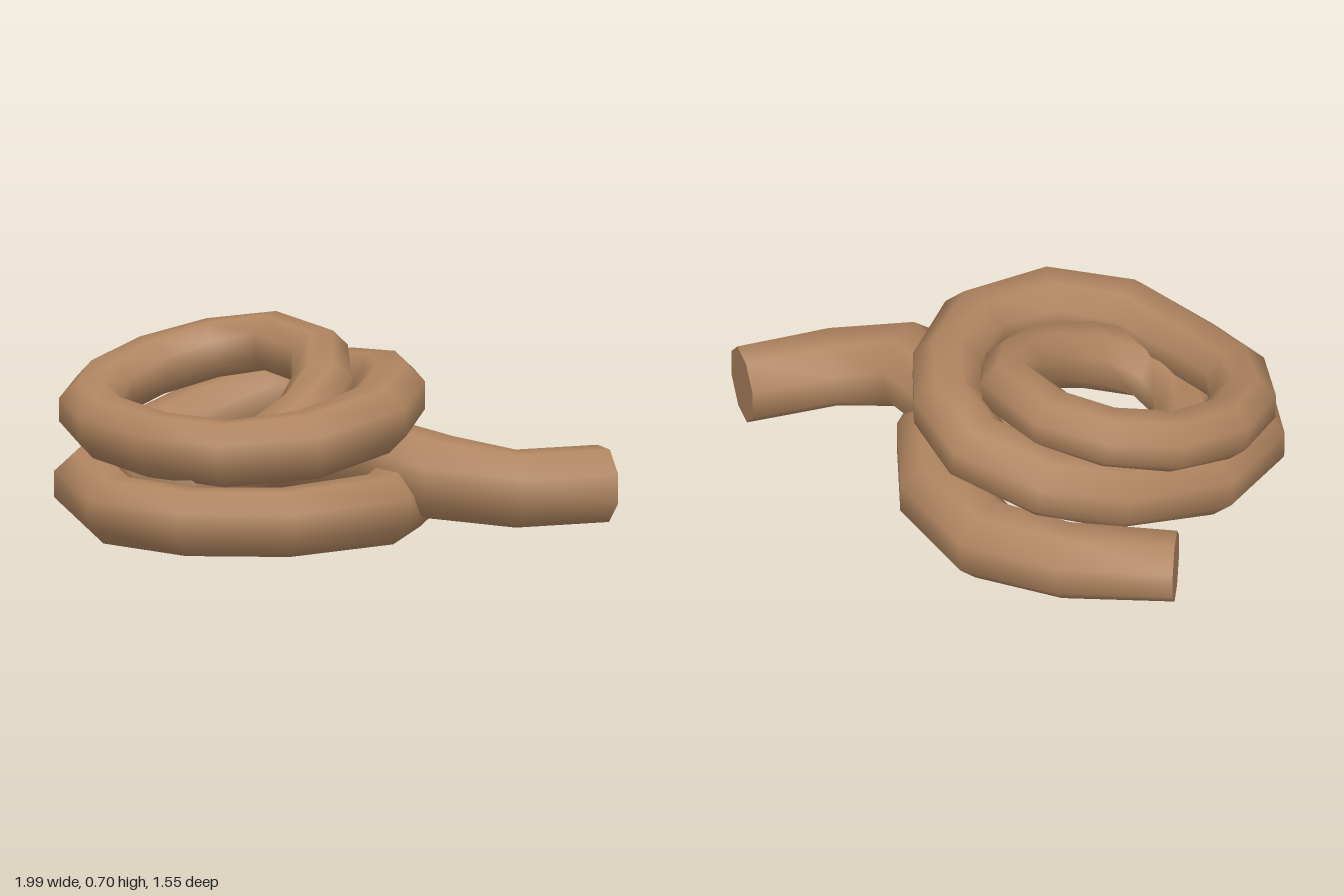
import * as THREE from 'three';

const SIDES = 8;
const CENTRE_X = -0.3;

// Coil profile: angle in degrees (0 back, 90 left side, 180 front), distance from the centre, height, radius
const COIL = [
  // bottom coil
  [-28, 0.635, 0.14, 0.14], [0, 0.63, 0.142, 0.147], [62, 0.565, 0.145, 0.137],
  [139, 0.675, 0.145, 0.126], [197, 0.64, 0.15, 0.125],
  // second coil, rising at the back and dipping at the front
  [268, 0.5, 0.23, 0.125], [313, 0.495, 0.33, 0.127], [370, 0.56, 0.455, 0.13], [419, 0.512, 0.485, 0.13],
  [488, 0.568, 0.4, 0.126], [518, 0.54, 0.37, 0.122], [552, 0.475, 0.37, 0.12],
  // top coil
  [582, 0.525, 0.4, 0.118], [604, 0.555, 0.43, 0.115], [626, 0.552, 0.47, 0.112], [651, 0.523, 0.525, 0.11],
  [702, 0.438, 0.608, 0.108], [738, 0.35, 0.58, 0.11], [774, 0.272, 0.51, 0.113], [819, 0.263, 0.43, 0.115],
  // dive through the middle and under the other coils
  [862, 0.328, 0.33, 0.12], [893, 0.423, 0.25, 0.12], [919, 0.4, 0.22, 0.12],
  [982, 0.293, 0.22, 0.125], [1026, 0.236, 0.23, 0.127], [1085, 0.23, 0.25, 0.13],
];

// Tail leading out from the middle: x, y, z, radius
const TAIL = [
  [-0.04, 0.265, -0.25, 0.135], [0.2, 0.265, -0.17, 0.145], [0.45, 0.245, -0.07, 0.152],
  [0.685, 0.205, -0.195, 0.142], [0.89, 0.2, -0.465, 0.141],
];

// Centre line with a radius at each bend: loose end, coils, tail
function ropePath() {
  const path = [{ point: new THREE.Vector3(-0.935, 0.14, -0.36), radius: 0.13 }];
  const angles = COIL.map(k => k[0]);
  const profile = new THREE.CubicInterpolant(angles, COIL.flatMap(k => k.slice(1)), 3);
  const addBend = angle => {
    const [distance, height, radius] = profile.evaluate(angle);
    const a = THREE.MathUtils.degToRad(angle);
    const point = new THREE.Vector3(CENTRE_X + distance * Math.sin(a), height, -distance * Math.cos(a));
    path.push({ point, radius });
  };
  // one bend at each profile angle and one halfway across the wide gaps
  angles.forEach((angle, i) => {
    addBend(angle);
    if (angles[i + 1] - angle > 45) addBend((angle + angles[i + 1]) / 2);
  });
  for (const [x, y, z, radius] of TAIL) path.push({ point: new THREE.Vector3(x, y, z), radius });
  return path;
}

// Sweep an octagon along the path, mitred at every bend, with flat ends
function ropeGeometry(path) {
  const up = new THREE.Vector3(0, 1, 0);
  const positions = [], indices = [];
  const last = path.length - 1;
  const direction = i => path[i + 1].point.clone().sub(path[i].point).normalize();

  path.forEach(({ point, radius }, i) => {
    const ahead = direction(Math.min(i, last - 1));
    const tangent = direction(Math.max(i - 1, 0)).add(ahead).normalize();
    const mitre = 1 / Math.max(0.8, tangent.dot(ahead));
    const side = tangent.clone().cross(up).normalize();
    const top = side.clone().cross(tangent);
    for (let j = 0; j < SIDES; j++) {
      const a = (j + 0.5) / SIDES * Math.PI * 2;
      const v = point.clone()
        .addScaledVector(side, Math.cos(a) * radius * mitre)
        .addScaledVector(top, Math.sin(a) * radius);
      positions.push(v.x, v.y, v.z);
    }
  });

  for (let i = 0; i < last; i++) {
    for (let j = 0; j < SIDES; j++) {
      const a = i * SIDES + j, b = i * SIDES + (j + 1) % SIDES;
      indices.push(a, a + SIDES, b, b, a + SIDES, b + SIDES);
    }
  }

  // end caps with their own vertices, so their edges stay sharp
  for (const ring of [0, last]) {
    const base = positions.length / 3;
    positions.push(...positions.slice(ring * SIDES * 3, (ring + 1) * SIDES * 3));
    for (let j = 1; j < SIDES - 1; j++) {
      if (ring === 0) indices.push(base, base + j, base + j + 1);
      else indices.push(base, base + j + 1, base + j);
    }
  }

  const geometry = new THREE.BufferGeometry();
  geometry.setAttribute('position', new THREE.Float32BufferAttribute(positions, 3));
  geometry.setIndex(indices);
  geometry.computeVertexNormals();
  return geometry;
}

export function createModel() {
  const group = new THREE.Group();
  group.name = 'coiledRope';
  const rope = new THREE.Mesh(ropeGeometry(ropePath()), new THREE.MeshStandardMaterial({ color: 0xb08560 }));
  rope.name = 'rope';
  group.add(rope);
  return group;
}
